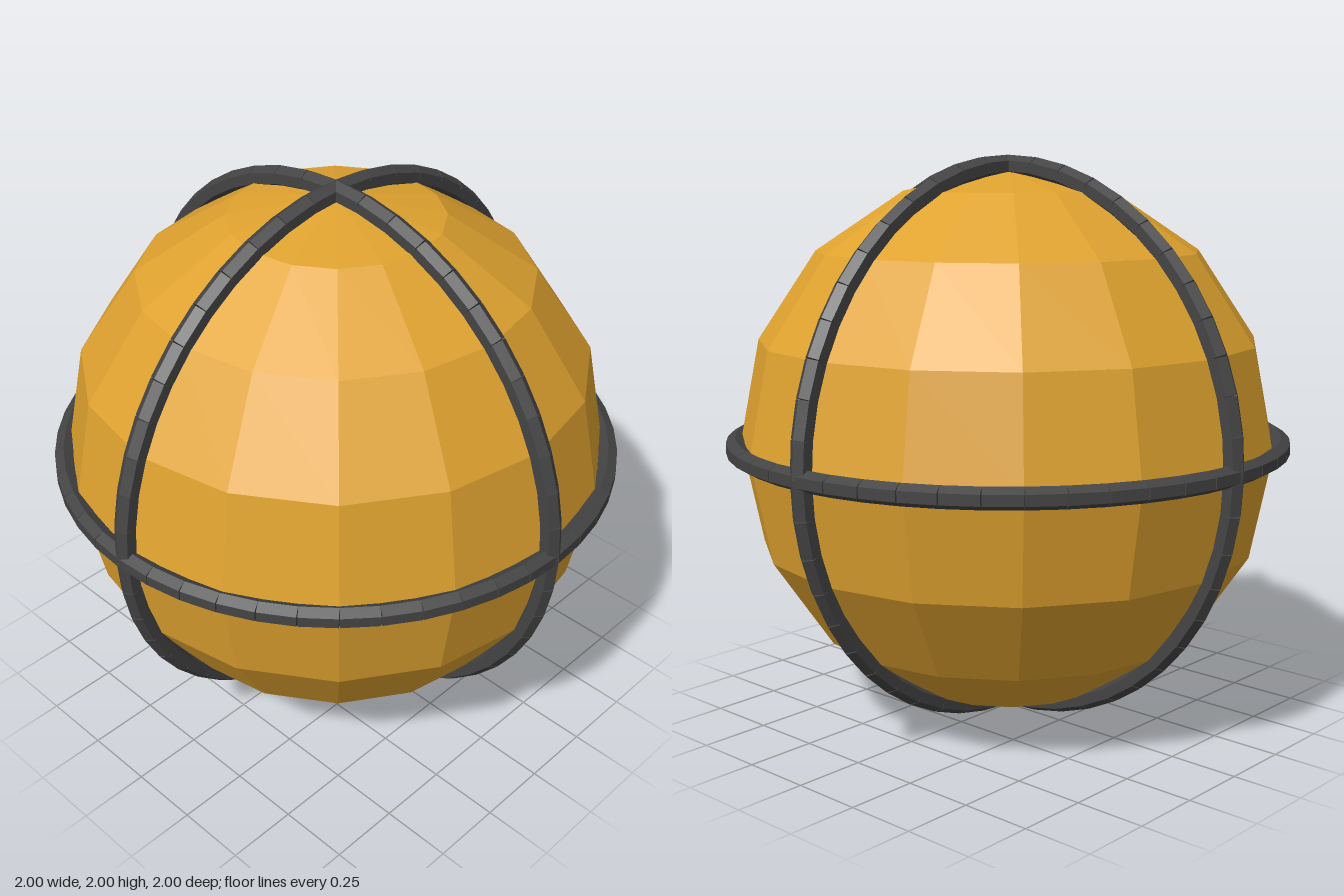
import * as THREE from 'three';
import { mergeGeometries } from 'three/addons/utils/BufferGeometryUtils.js';

const SEGMENTS = 48;
const RING_RADIUS = 0.9635;
const BAR_RADIUS = 0.0365;

// Ring of short straight hexagonal bars in the XY plane; roll turns each bar about its own axis.
function ringGeometry(roll) {
  const step = (Math.PI * 2) / SEGMENTS;
  const bars = [];
  for (let i = 0; i < SEGMENTS; i++) {
    const bar = new THREE.CylinderGeometry(BAR_RADIUS, BAR_RADIUS, RING_RADIUS * step, 6);
    bar.rotateY(roll);
    bar.translate(RING_RADIUS, 0, 0);
    bar.rotateZ((i + 0.5) * step);
    bars.push(bar);
  }
  return mergeGeometries(bars);
}

export function createModel() {
  const model = new THREE.Group();
  model.name = 'bandedBall';

  const amber = new THREE.MeshStandardMaterial({ color: 0xdfa22f, flatShading: true });
  amber.name = 'amber';
  const charcoal = new THREE.MeshStandardMaterial({ color: 0x444444, flatShading: true });
  charcoal.name = 'charcoal';

  const add = (name, geometry, material) => {
    const mesh = new THREE.Mesh(geometry, material);
    mesh.name = name;
    mesh.position.y = 1;
    model.add(mesh);
  };

  // Faceted ball
  add('ball', new THREE.SphereGeometry(0.952, 16, 8), amber);

  // Three rings at right angles; upright ones have an edge facing outwards
  add('frontUprightRing', ringGeometry(Math.PI / 2), charcoal);
  add('sideUprightRing', ringGeometry(Math.PI / 2).rotateY(Math.PI / 2), charcoal);
  add('equatorRing', ringGeometry(0).rotateX(Math.PI / 2), charcoal);

  return model;
}
